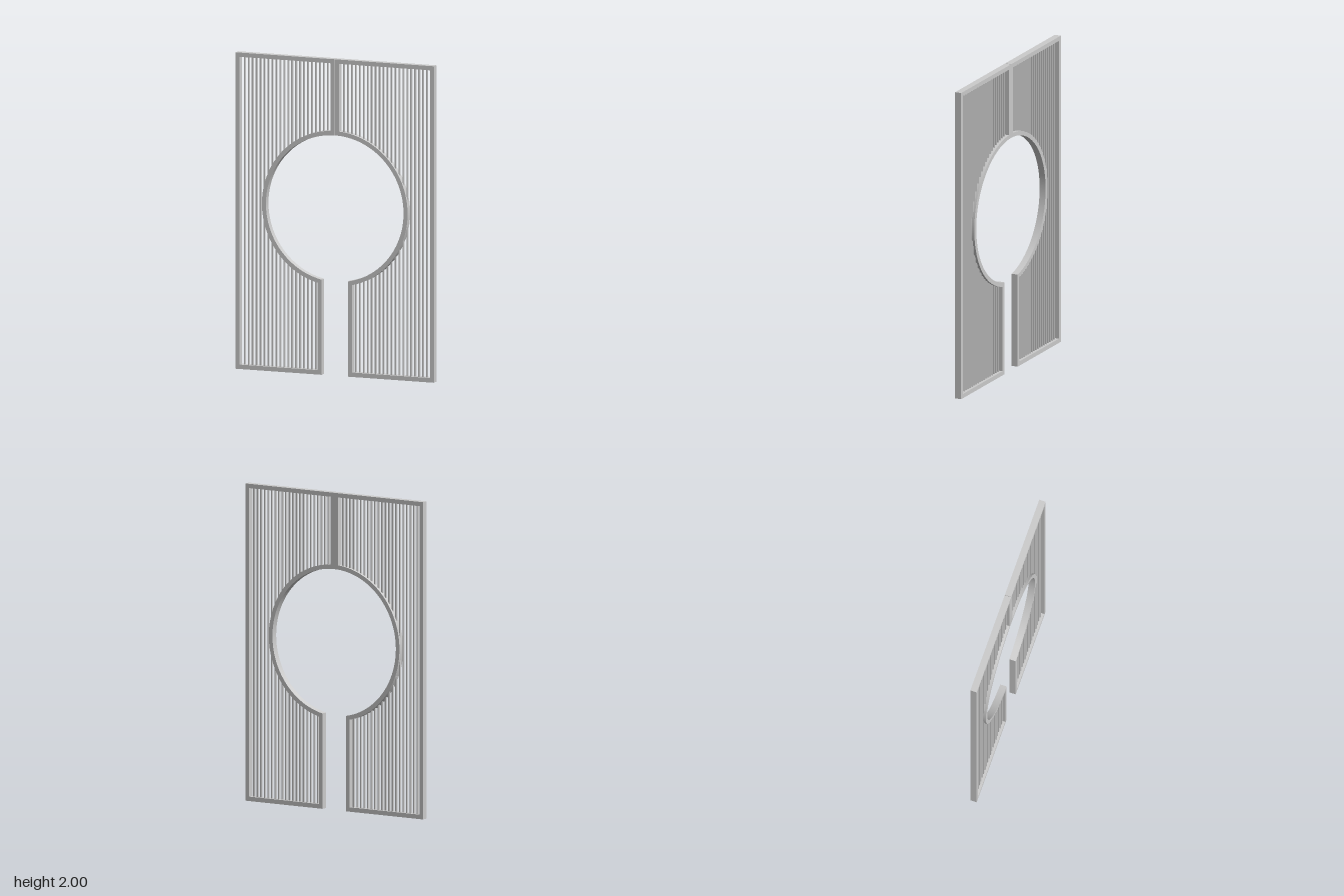
import * as THREE from 'three';

const CY = 1.056; // height of the round opening's centre
const DEPTH = 0.042;
const RING_IN = 0.463, RING_OUT = 0.49;

// Half-panel outline, counter-clockwise, with a bite of radius r taken by the round opening
function outline(path, { x0, x1, gapX, y0, y1, r }) {
  path.moveTo(gapX, y0);
  path.lineTo(x1, y0);
  path.lineTo(x1, y1);
  path.lineTo(x0, y1);
  path.absarc(0, CY, r, Math.acos(x0 / r), -Math.acos(gapX / r), true);
  path.closePath();
  return path;
}

function createPanel(name, material) {
  const panel = new THREE.Group();
  panel.name = name;

  // Frame following the whole outline of the panel
  const shape = outline(new THREE.Shape(), { x0: 0.001, x1: 0.667, gapX: 0.088, y0: 0, y1: 2, r: RING_IN });
  shape.holes.push(outline(new THREE.Path(), { x0: 0.028, x1: 0.64, gapX: 0.115, y0: 0.028, y1: 1.973, r: RING_OUT }));
  const frameGeometry = new THREE.ExtrudeGeometry(shape, { depth: DEPTH, bevelEnabled: false, curveSegments: 64 });
  frameGeometry.translate(0, 0, -DEPTH / 2);
  const frame = new THREE.Mesh(frameGeometry, material);
  frame.name = 'frame';
  panel.add(frame);

  // Thin upright slats, cut where they meet the ring
  const slats = new THREE.Group();
  slats.name = 'slats';
  const addSlat = (x, bottom, top) => {
    const slat = new THREE.Mesh(new THREE.BoxGeometry(0.009, top - bottom, 0.013), material);
    slat.position.set(x, (bottom + top) / 2, 0);
    slat.name = 'slat';
    slats.add(slat);
  };
  const count = 22;
  for (let i = 1; i <= count; i++) {
    const x = 0.028 + (0.612 * i) / (count + 1);
    const reach = RING_OUT - 0.008;
    if (x >= reach) {
      addSlat(x, 0.02, 1.98);
    } else {
      const h = Math.sqrt(reach * reach - x * x);
      addSlat(x, CY + h, 1.98);
      if (x > 0.118) addSlat(x, 0.02, CY - h);
    }
  }
  panel.add(slats);
  return panel;
}

export function createModel() {
  const material = new THREE.MeshStandardMaterial({ color: 0xcccccc });
  const model = new THREE.Group();
  model.name = 'slattedScreen';
  const left = createPanel('leftPanel', material);
  const right = createPanel('rightPanel', material);
  right.rotation.y = Math.PI; // panels are the same front and back
  model.add(left, right);
  return model;
}
